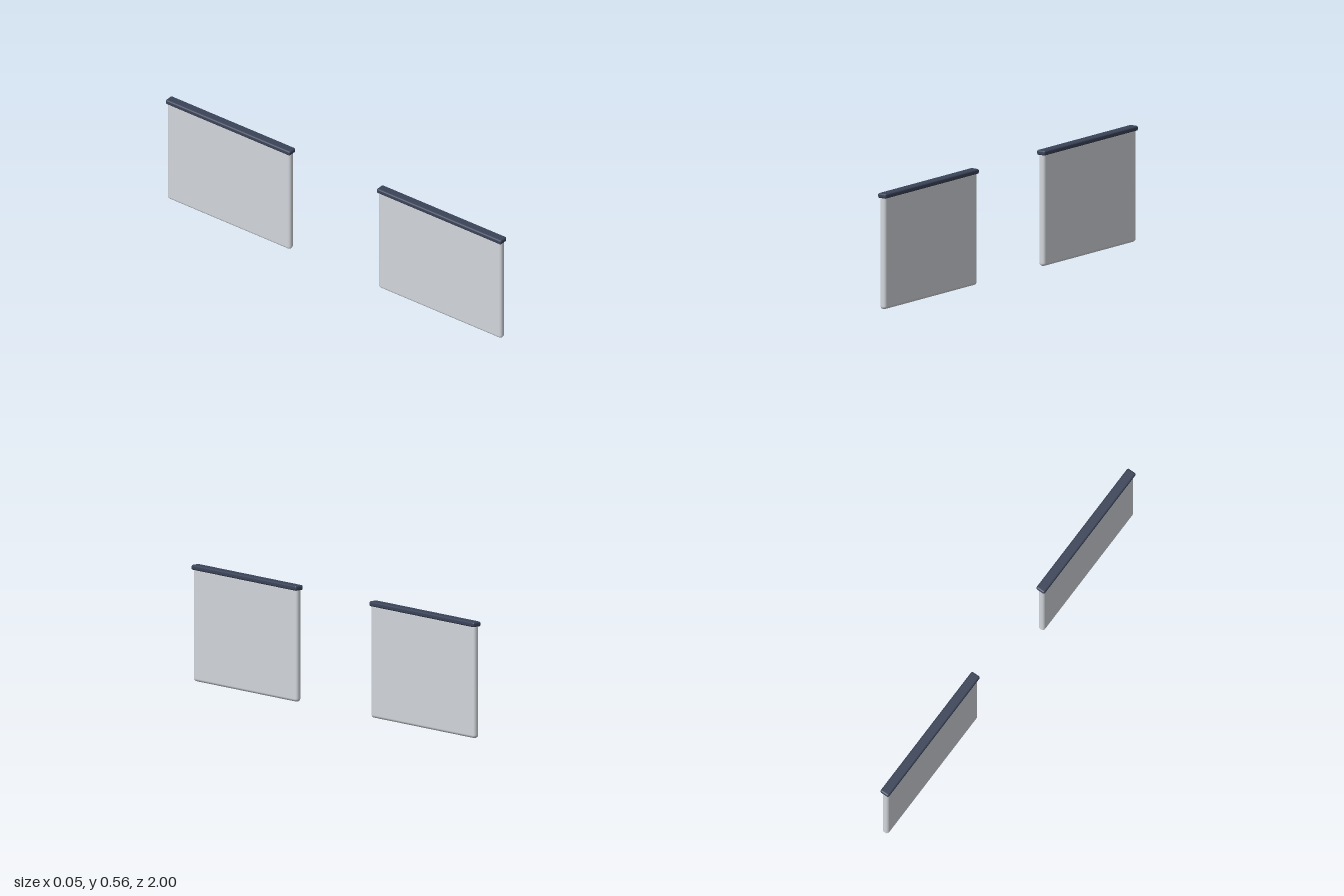
import * as THREE from 'three';
import { RoundedBoxGeometry } from 'three/addons/geometries/RoundedBoxGeometry.js';

export function createModel() {
  const model = new THREE.Group();
  const panelMaterial = new THREE.MeshStandardMaterial({ color: 0xd2d6db });
  const capMaterial = new THREE.MeshStandardMaterial({ color: 0x3a4358 });

  // Rounded slab and the slimmer rail that caps its top edge
  const panelGeometry = new RoundedBoxGeometry(0.034, 0.547, 0.734, 5, 0.015);
  const capGeometry = new RoundedBoxGeometry(0.048, 0.024, 0.742, 4, 0.008);

  function addPart(parent, name, geometry, material, y) {
    const mesh = new THREE.Mesh(geometry, material);
    mesh.name = name;
    mesh.position.y = y;
    parent.add(mesh);
  }

  // Two matching barriers in line, with a gap between them
  for (const [name, side] of [['frontBarrier', 1], ['backBarrier', -1]]) {
    const barrier = new THREE.Group();
    barrier.name = name;
    barrier.position.z = side * 0.629;
    addPart(barrier, 'panel', panelGeometry, panelMaterial, 0.2735);
    addPart(barrier, 'topRail', capGeometry, capMaterial, 0.547);
    model.add(barrier);
  }

  return model;
}
